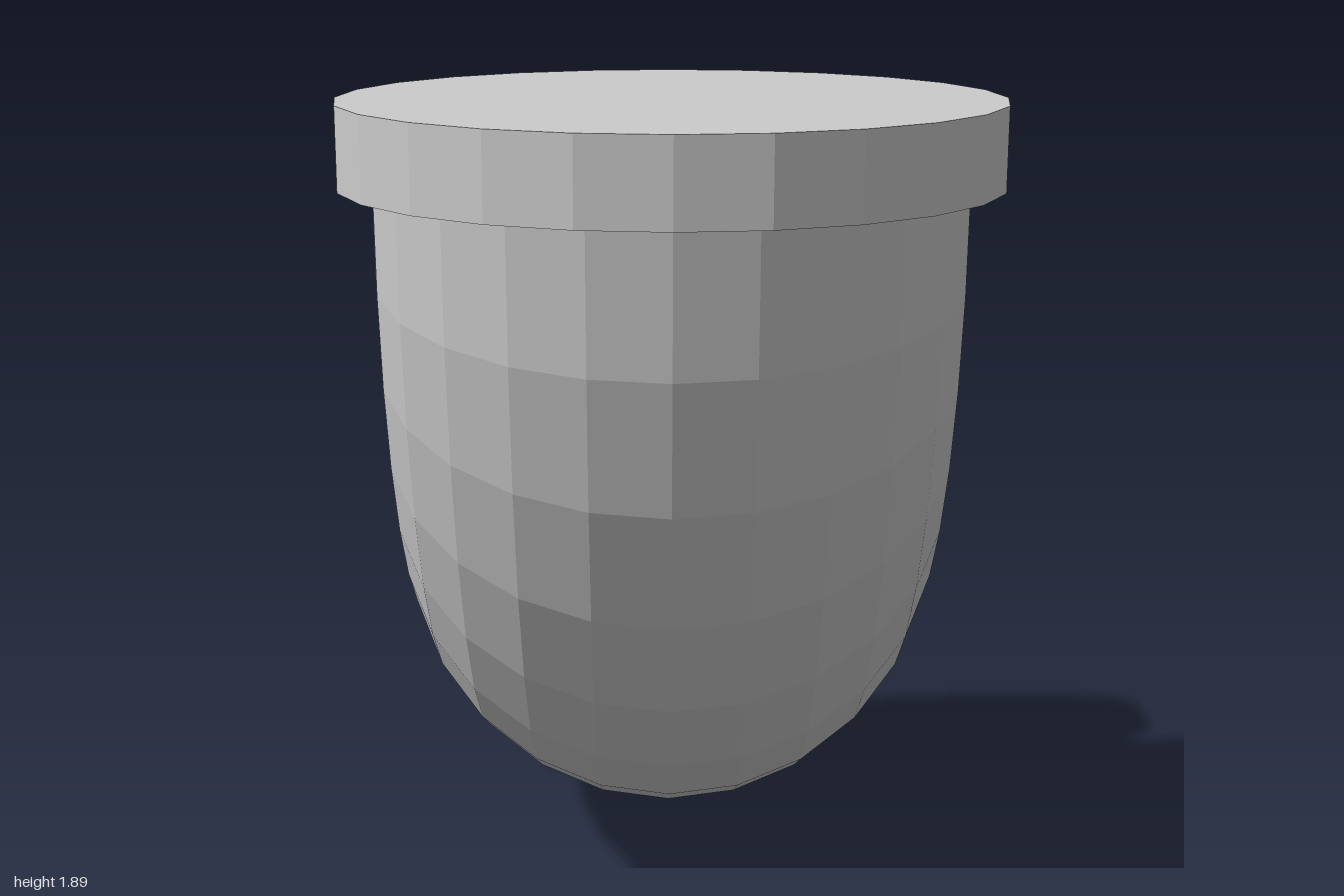
import * as THREE from 'three';

const SIDES = 24;
const PIPE_R = 0.61, FLANGE_R = 0.68, FLANGE_T = 0.17, BEND_R = 1.04;
const AXIS_Y = 0.68; // height of the horizontal outlet's axis

export function createModel() {
  const model = new THREE.Group();
  model.name = 'pipeElbow';
  const material = new THREE.MeshStandardMaterial({
    color: 0xcccccc, flatShading: true, side: THREE.DoubleSide,
  });

  // The elbow is laid out in a plane, then turned slightly about the vertical
  const elbow = new THREE.Group();
  elbow.name = 'elbow';
  elbow.position.set(0.11, 0, 0.32);
  elbow.rotation.y = 0.192;
  model.add(elbow);

  const add = (name, geometry, y, z) => {
    const mesh = new THREE.Mesh(geometry, material);
    mesh.name = name;
    mesh.position.set(0, y, z);
    elbow.add(mesh);
  };

  // Quarter bend from the top opening down to the back opening
  const bend = new THREE.TorusGeometry(BEND_R, PIPE_R, SIDES, 9, Math.PI / 2);
  bend.rotateZ(-Math.PI / 2).rotateY(-Math.PI / 2);
  add('bentPipe', bend, AXIS_Y + BEND_R, -BEND_R);

  // Capped collars at both ends
  const collar = () => new THREE.CylinderGeometry(FLANGE_R, FLANGE_R, FLANGE_T, SIDES);
  add('topFlange', collar(), AXIS_Y + BEND_R + FLANGE_T / 2 + 0.005, 0);
  add('backFlange', collar().rotateX(Math.PI / 2), AXIS_Y, -BEND_R - FLANGE_T / 2);

  return model;
}
